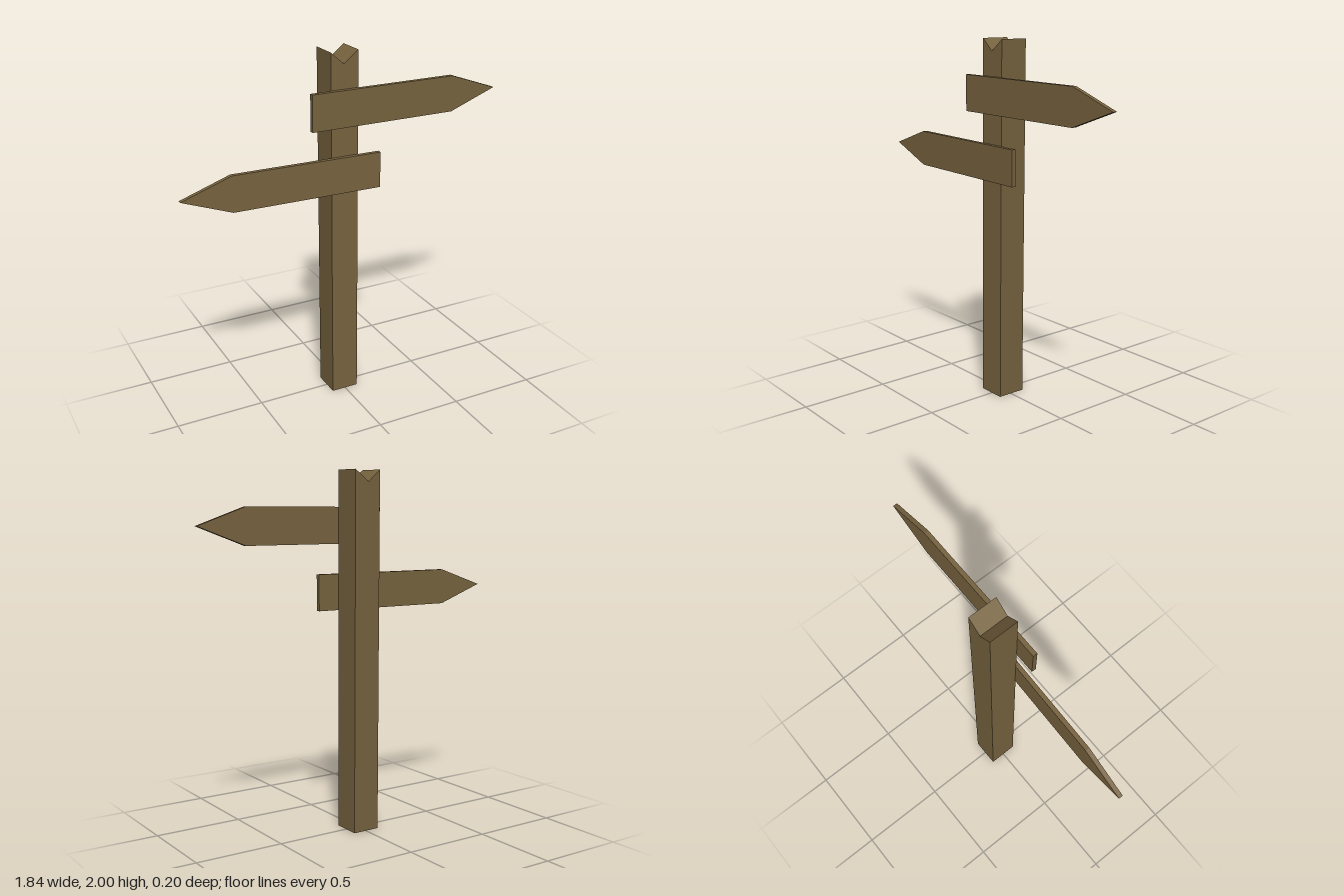
import * as THREE from 'three';

const wood = new THREE.MeshStandardMaterial({ color: 0x77633f });
wood.name = 'weathered wood';

// Flat outline in x/y, given thickness along z and centred on it
function plank(name, points, depth) {
  const shape = new THREE.Shape(points.map(([x, y]) => new THREE.Vector2(x, y)));
  const geometry = new THREE.ExtrudeGeometry(shape, { depth, bevelEnabled: false });
  geometry.translate(0, 0, -depth / 2);
  const mesh = new THREE.Mesh(geometry, wood);
  mesh.name = name;
  return mesh;
}

// Pointed board; side is +1 for a tip at +x, -1 for a tip at -x
function arrowBoard(name, side) {
  const outline = [[-0.2, -0.1], [0.645, -0.1], [0.92, 0.003], [0.645, 0.1], [-0.2, 0.1]];
  return plank(name, outline.map(([x, y]) => [x * side, y]), 0.025);
}

export function createModel() {
  const model = new THREE.Group();
  model.name = 'signpost';

  // Square post with a V notch in its top, leaning very slightly back
  const post = plank('post', [
    [-0.081, 0], [0.077, 0], [0.077, 2], [-0.007, 1.935], [-0.081, 2],
  ], 0.164);
  post.position.z = -0.003;
  post.rotation.x = -0.006;
  model.add(post);

  // Upper board points to +x
  const upper = arrowBoard('upperBoard', 1);
  upper.position.set(0, 1.702, 0.081);
  model.add(upper);

  // Lower board points to -x and is turned a little
  const lower = arrowBoard('lowerBoard', -1);
  lower.position.set(0, 1.338, 0.082);
  lower.rotation.y = -0.025;
  model.add(lower);

  return model;
}
